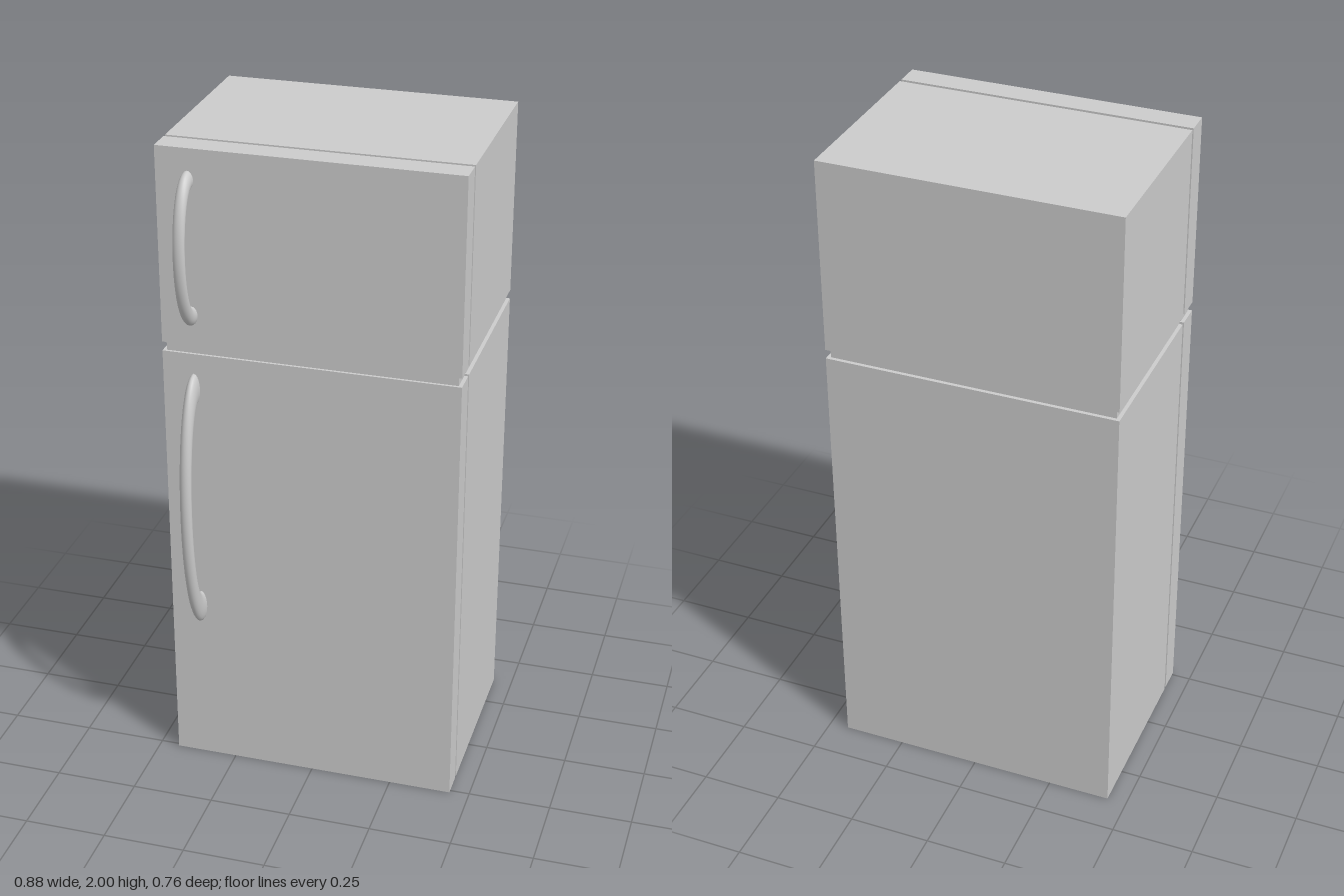
import * as THREE from 'three';

const material = new THREE.MeshStandardMaterial({ color: 0xcccccc });
const handleMaterial = new THREE.MeshStandardMaterial({ color: 0xcccccc, side: THREE.DoubleSide });

// Box given by half width and its y and z ranges
function block(name, halfWidth, y0, y1, z0, z1) {
  const mesh = new THREE.Mesh(new THREE.BoxGeometry(halfWidth * 2, y1 - y0, z1 - z0), material);
  mesh.position.set(0, (y0 + y1) / 2, (z0 + z1) / 2);
  mesh.name = name;
  return mesh;
}

// Bowed handle: half a torus stretched into a tall shallow arch
function handle(name, y0, y1, depth, doorZ) {
  const tube = 0.137, outer = 1 + tube;
  const geometry = new THREE.TorusGeometry(1, tube, 20, 40, Math.PI);
  geometry.applyMatrix4(new THREE.Matrix4().makeBasis(
    new THREE.Vector3(0, 1, 0), new THREE.Vector3(0, 0, 1), new THREE.Vector3(1, 0, 0)));
  geometry.scale(0.0175 / tube, (y1 - y0) / 2 / outer, depth / outer);
  const mesh = new THREE.Mesh(geometry, handleMaterial);
  mesh.position.set(-0.347, (y0 + y1) / 2, doorZ);
  mesh.name = name;
  return mesh;
}

export function createModel() {
  const model = new THREE.Group();
  model.name = 'refrigerator';
  const W = 0.44, back = -0.38, bodyFront = 0.172, doorBack = 0.184, doorFront = 0.26;

  const sections = [
    { name: 'fridge', y0: 0, y1: 1.382, handle: [0.49, 1.32, 0.118] },
    { name: 'freezer', y0: 1.41, y1: 2, handle: [1.475, 1.935, 0.098] },
  ];
  for (const s of sections) {
    const group = new THREE.Group();
    group.name = s.name + 'Section';
    group.add(
      block(s.name + 'Cabinet', W, s.y0, s.y1, back, bodyFront),
      block(s.name + 'Door', W, s.y0, s.y1, doorBack, doorFront),
      handle(s.name + 'Handle', ...s.handle, doorFront),
    );
    model.add(group);
  }

  // Recessed strips filling the horizontal gap, and the gasket behind the doors
  model.add(
    block('cabinetDivider', W - 0.011, 1.37, 1.42, back + 0.011, bodyFront - 0.006),
    block('doorDivider', W - 0.011, 1.37, 1.42, doorBack + 0.006, doorFront - 0.008),
    block('doorGasket', W - 0.013, 0.03, 1.97, bodyFront - 0.01, doorBack + 0.01),
  );
  return model;
}
